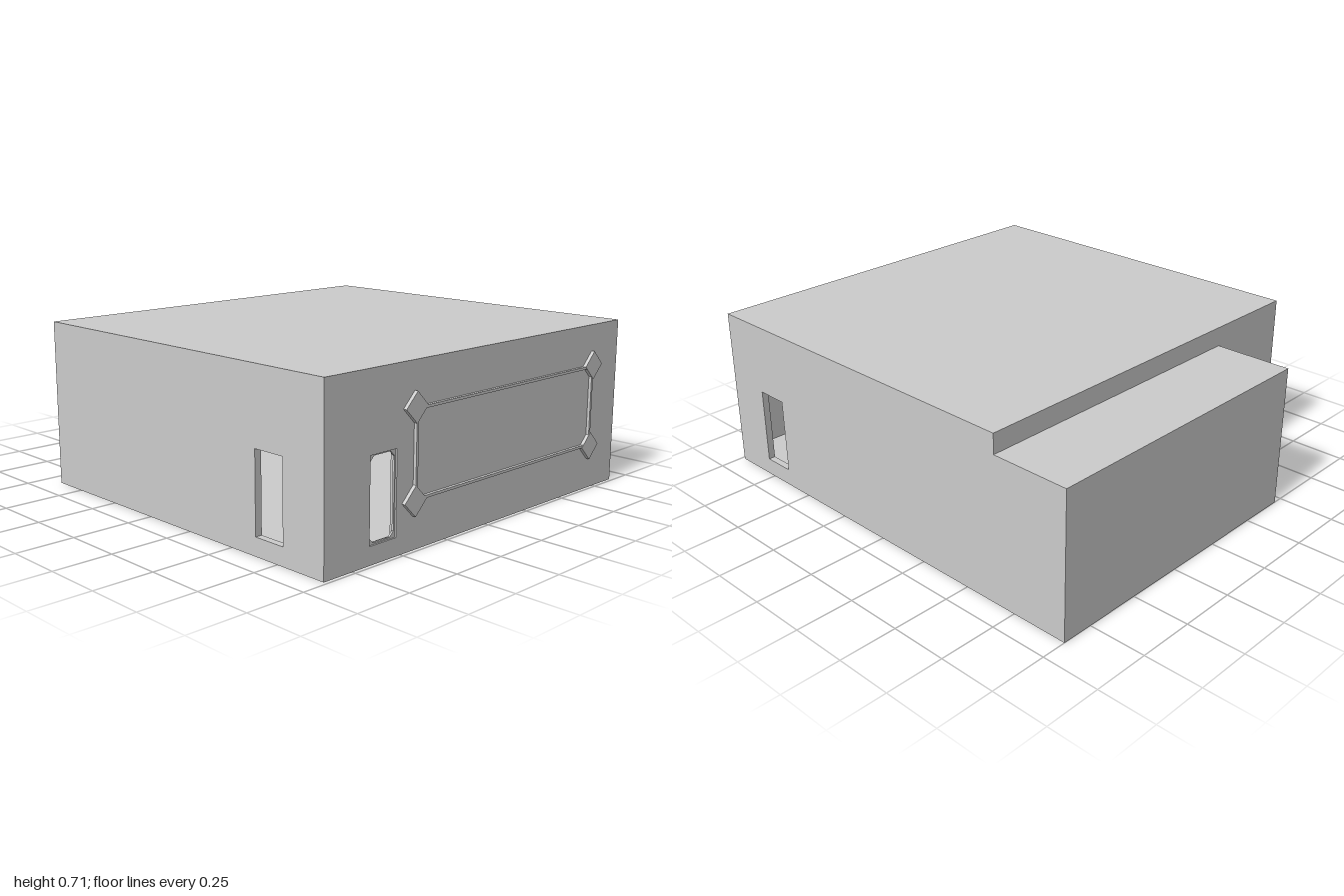
import * as THREE from 'three';

const W = 0.89, H = 0.715, LOW = 0.63;          // half width, main height, annex height
const FRONT = 0.985, STEP = -0.655, BACK = -1;  // z of the front, main back and annex back
const ANNEX = -0.457, T = 0.03, FLOOR = 0.06;   // annex side x, wall thickness, floor height

const mat = new THREE.MeshStandardMaterial({ color: 0xcccccc, flatShading: true });

const poly = (pts) => pts.map(([x, y]) => new THREE.Vector2(x, y));
const rect = (x0, y0, x1, y1) => [[x0, y0], [x1, y0], [x1, y1], [x0, y1]];
// Rectangle with cut corners
const cutRect = (x0, y0, x1, y1, c) => [
  [x0 + c, y0], [x1 - c, y0], [x1, y0 + c], [x1, y1 - c],
  [x1 - c, y1], [x0 + c, y1], [x0, y1 - c], [x0, y0 + c],
];

export function createModel() {
  const group = new THREE.Group();

  const add = (name, geometry) => {
    const mesh = new THREE.Mesh(geometry, mat);
    mesh.name = name;
    group.add(mesh);
    return mesh;
  };
  const box = (name, x0, x1, y0, y1, z0, z1) =>
    add(name, new THREE.BoxGeometry(x1 - x0, y1 - y0, z1 - z0))
      .position.set((x0 + x1) / 2, (y0 + y1) / 2, (z0 + z1) / 2);
  // Flat plate with an optional hole
  const plate = (outline, hole, depth) => {
    const shape = new THREE.Shape(poly(outline));
    if (hole) shape.holes.push(new THREE.Path(poly(hole)));
    return new THREE.ExtrudeGeometry(shape, { depth, bevelEnabled: false });
  };
  // Side walls are drawn as (-z, y) and turned to face along x
  const sideWall = (name, outline, x) => {
    const wall = add(name, plate(outline, rect(-0.78, 0.075, -0.635, 0.405), T));
    wall.rotation.y = Math.PI / 2;
    wall.position.x = x;
  };

  // Outer walls with door and side openings
  const door = [-0.663, 0.072, -0.525, 0.405];
  add('frontWall', plate(rect(-W, 0, W, H), rect(...door), T)).position.z = FRONT - T;
  const z0 = -(FRONT - T);
  sideWall('leftWall', [[z0, 0], [-BACK, 0], [-BACK, LOW], [-STEP, LOW], [-STEP, H], [z0, H]], W - T);
  sideWall('rightWall', rect(z0, 0, -STEP, H), -W);
  box('mainBackWall', -W + T, ANNEX + T, 0, H, STEP, STEP + T);
  box('roofStep', ANNEX + T, W - T, LOW - T, H, STEP, STEP + T);
  box('annexSideWall', ANNEX, ANNEX + T, 0, LOW, BACK, STEP);
  box('annexBackWall', ANNEX + T, W - T, 0, LOW, BACK, BACK + T);

  // Floors and roofs
  box('mainFloor', -W + T, W - T, 0, FLOOR, STEP + T, FRONT - T);
  box('annexFloor', ANNEX + T, W - T, 0, FLOOR, BACK + T, STEP + T);
  box('mainRoof', -W + T, W - T, H - T, H, STEP + T, FRONT - T);
  box('annexRoof', ANNEX + T, W - T, LOW - T, LOW, BACK + T, STEP);

  // Slim door frame with cut inner corners
  const [dx0, dy0, dx1, dy1] = door, f = 0.006;
  add('doorFrame', plate(rect(...door), cutRect(dx0 + f, dy0 + f, dx1 - f, dy1 - f, 0.02), 0.008))
    .position.z = FRONT - 0.015;

  // Raised sign frame: thin border and a diamond tile on each corner
  const x0 = -0.435, x1 = 0.695, y0 = 0.192, y1 = 0.543, b = 0.011;
  add('signBorder', plate(rect(x0, y0, x1, y1), rect(x0 + b, y0 + b, x1 - b, y1 - b), 0.013))
    .position.z = FRONT;
  for (const x of [x0, x1]) {
    for (const y of [y0, y1]) {
      const r = 0.06;
      add('signCorner', plate([[r, 0], [0, r], [-r, 0], [0, -r]], null, 0.015))
        .position.set(x, y, FRONT);
    }
  }
  return group;
}
